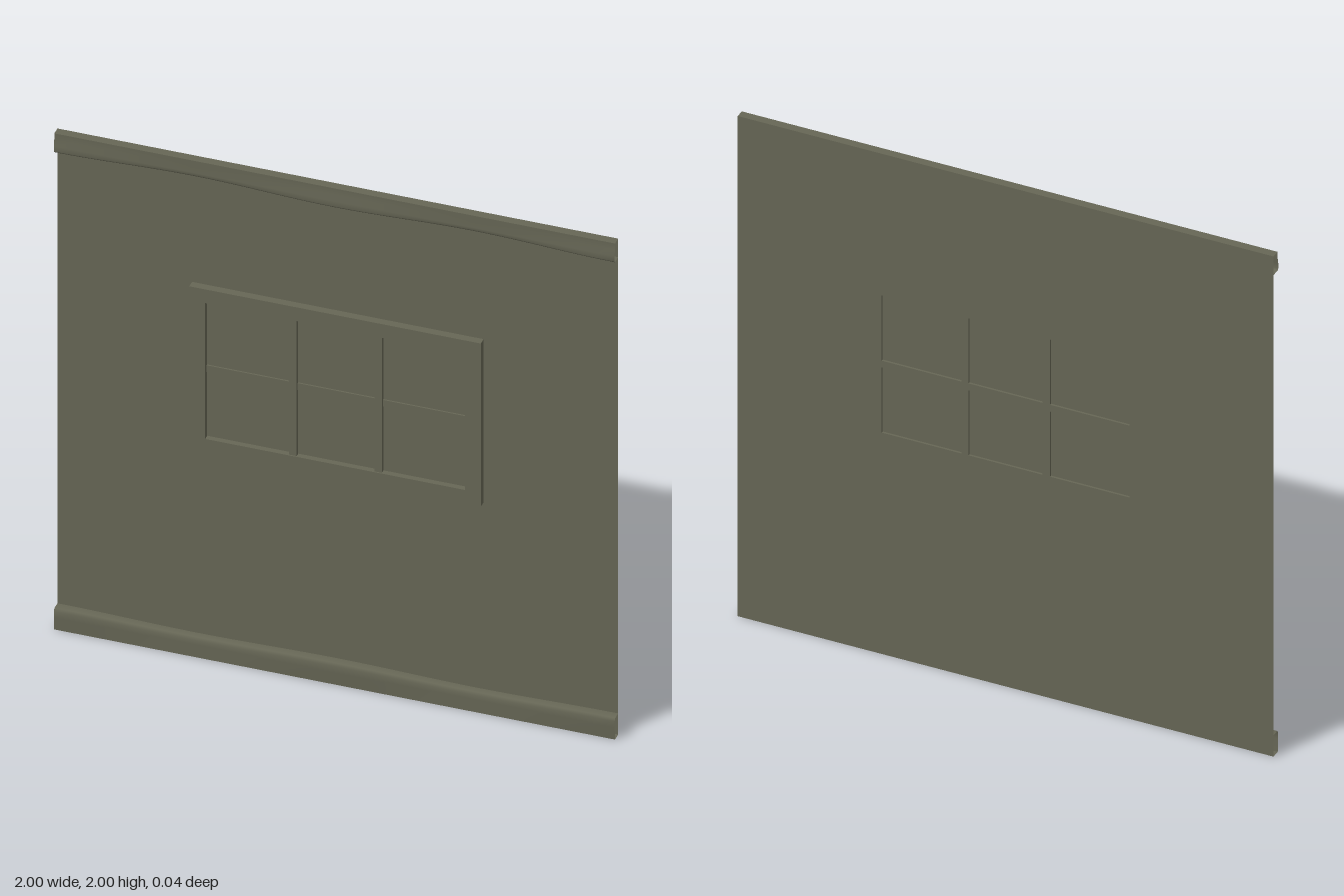
import * as THREE from 'three';

const BACK = -0.019; // plane of the wall sheet

// Rectangle as a shape or hole
function rect(Type, x0, y0, x1, y1) {
  const r = new Type();
  r.moveTo(x0, y0);
  r.lineTo(x1, y0);
  r.lineTo(x1, y1);
  r.lineTo(x0, y1);
  r.closePath();
  return r;
}

// Sheet swept along x; profile(x) gives [z, y] points in front-facing order
function sweptSheet(profile, segments = 32) {
  const pos = [], index = [];
  const n = profile(0).length;
  for (let i = 0; i <= segments; i++) {
    const x = -1 + (2 * i) / segments;
    for (const [z, y] of profile(x)) pos.push(x, y, z);
  }
  for (let i = 0; i < segments; i++) {
    for (let j = 0; j < n - 1; j++) {
      const a = i * n + j, b = a + n;
      index.push(a, a + 1, b, b, a + 1, b + 1);
    }
  }
  const g = new THREE.BufferGeometry();
  g.setAttribute('position', new THREE.Float32BufferAttribute(pos, 3));
  g.setIndex(index);
  g.computeVertexNormals();
  return g;
}

export function createModel() {
  const model = new THREE.Group();
  const olive = new THREE.MeshStandardMaterial({ color: 0x666655, side: THREE.DoubleSide });
  olive.name = 'drab olive';

  const add = (name, geometry, x = 0, y = 0, z = 0) => {
    const mesh = new THREE.Mesh(geometry, olive);
    mesh.name = name;
    mesh.position.set(x, y, z);
    model.add(mesh);
  };

  // Window layout
  const inX = 0.463, inY0 = 0.885, inY1 = 1.433;
  const barX = 0.152, barHalf = 0.0135, midY = 1.159;
  const columns = [[-inX, -barX - barHalf], [-barX + barHalf, barX - barHalf], [barX + barHalf, inX]];
  const rows = [[inY0, midY - barHalf], [midY + barHalf, inY1]];

  // Wall sheet with six openings
  const wall = rect(THREE.Shape, -1, 0, 1, 2);
  for (const [x0, x1] of columns) {
    for (const [y0, y1] of rows) wall.holes.push(rect(THREE.Path, x0, y0, x1, y1));
  }
  add('wall', new THREE.ShapeGeometry(wall), 0, 0, BACK);

  // Window frame
  const frame = rect(THREE.Shape, -0.52, 0.83, 0.52, 1.488);
  frame.holes.push(rect(THREE.Path, -inX, inY0, inX, inY1));
  add('windowFrame', new THREE.ExtrudeGeometry(frame, { depth: 0.029, bevelEnabled: false }), 0, 0, BACK);

  // Panes set between wall and frame faces
  add('windowPanes', new THREE.PlaneGeometry(inX * 2, inY1 - inY0), 0, (inY0 + inY1) / 2, -0.011);

  // Upright bars stand proud; the cross bar is shallow
  for (const side of [-1, 1]) {
    add('uprightBar', new THREE.BoxGeometry(barHalf * 2, inY1 - inY0, 0.024),
      side * barX, (inY0 + inY1) / 2, BACK + 0.012);
  }
  add('crossBar', new THREE.BoxGeometry(inX * 2, barHalf * 2, 0.014), 0, midY, BACK + 0.007);

  // Wavy trims along the top and bottom edges
  const wave = (x) => Math.cos(2 * Math.PI * x);
  add('topTrim', sweptSheet((x) => {
    const y = 1.931 - 0.006 * wave(x), z = 0.016 + 0.002 * wave(x);
    return [[0.013, 2], [0.013, 1.975], [z, 1.952], [z, y + 0.006], [z - 0.004, y], [BACK, y]];
  }));
  add('bottomTrim', sweptSheet((x) => {
    const y = 0.081 + 0.004 * wave(x), z = 0.015 + 0.002 * wave(x);
    return [[BACK, y], [z - 0.006, y], [z, y - 0.01], [z, 0.05], [0.014, 0]];
  }));

  // Flat caps closing the trims above and below
  add('topCap', new THREE.PlaneGeometry(2, 0.032).rotateX(-Math.PI / 2), 0, 2, -0.003);
  add('bottomCap', new THREE.PlaneGeometry(2, 0.033).rotateX(Math.PI / 2), 0, 0, -0.0025);

  return model;
}
